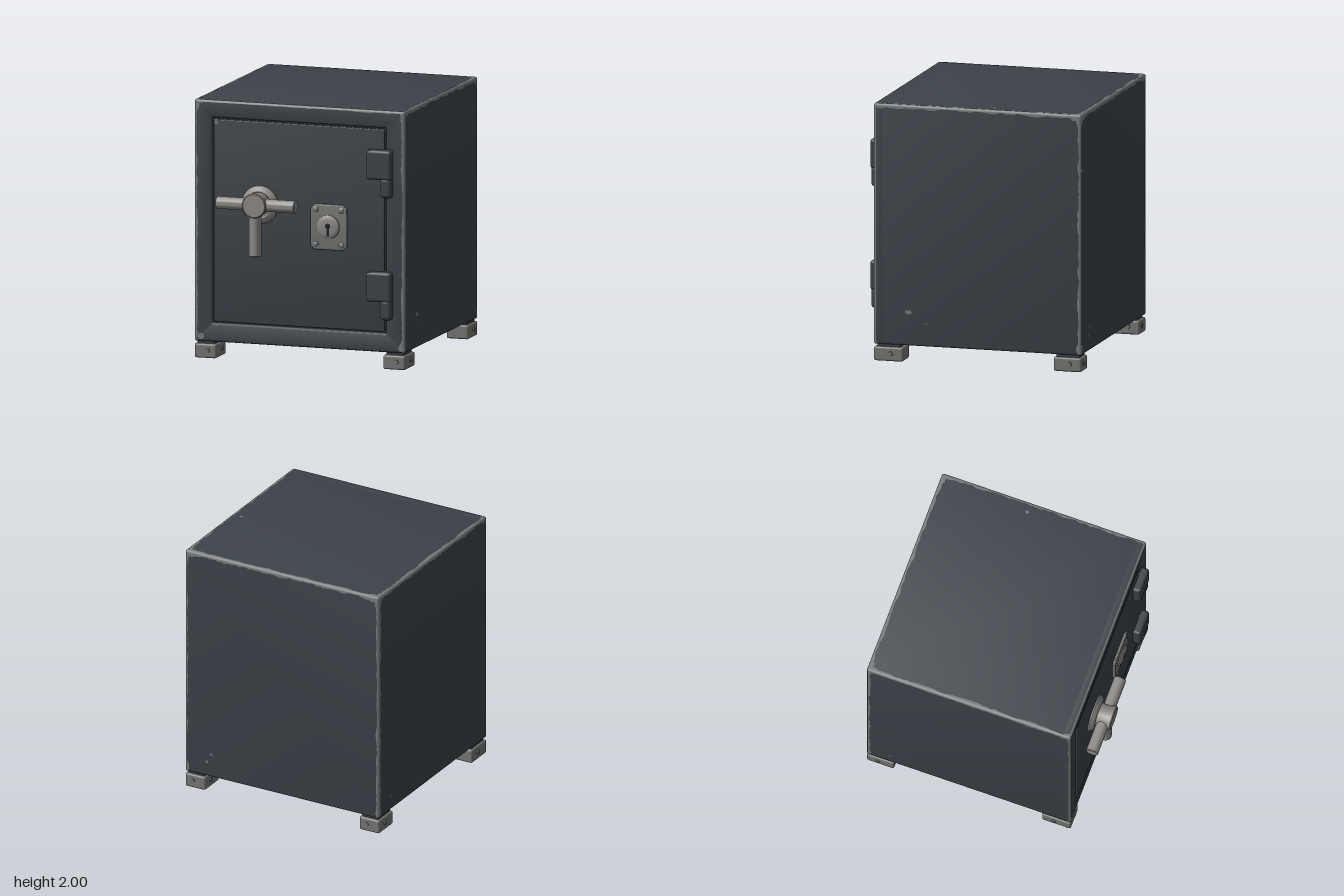
import * as THREE from 'three';
import { toCreasedNormals } from 'three/addons/utils/BufferGeometryUtils.js';
import { RoundedBoxGeometry } from 'three/addons/geometries/RoundedBoxGeometry.js';

const mat = (name, color, side = THREE.FrontSide) => {
  const m = new THREE.MeshStandardMaterial({ color, side });
  m.name = name;
  return m;
};

export function createModel() {
  const paint = mat('dark paint', 0x3c4249);
  const worn = mat('worn edge metal', 0x767a7b, THREE.DoubleSide);
  const steel = mat('handle steel', 0x8d8a87);
  const iron = mat('foot and lock iron', 0x757572);
  const black = mat('keyhole black', 0x1c1d1f);

  const model = new THREE.Group();
  model.name = 'safe';
  let seed = 7;
  const rand = () => (seed = (seed * 16807) % 2147483647) / 2147483647;

  const add = (name, geometry, material, x = 0, y = 0, z = 0, parent = model) => {
    const mesh = new THREE.Mesh(geometry, material);
    mesh.name = name;
    mesh.position.set(x, y, z);
    parent.add(mesh);
    return mesh;
  };

  // Rectangle path with rounded (or clipped) corners
  const rect = (path, x0, x1, y0, y1, r, clipped = false) => {
    path.moveTo(x0 + r, y0);
    const corner = (cx, cy, x, y) => (clipped ? path.lineTo(x, y) : path.quadraticCurveTo(cx, cy, x, y));
    path.lineTo(x1 - r, y0); corner(x1, y0, x1, y0 + r);
    path.lineTo(x1, y1 - r); corner(x1, y1, x1 - r, y1);
    path.lineTo(x0 + r, y1); corner(x0, y1, x0, y1 - r);
    path.lineTo(x0, y0 + r); corner(x0, y0, x0 + r, y0);
    return path;
  };
  // Slab between two depths with bevelled rims
  const slab = (shape, z0, z1, b) => {
    const g = new THREE.ExtrudeGeometry(shape, {
      depth: z1 - z0 - 2 * b, bevelThickness: b, bevelSize: b, bevelOffset: -b, bevelSegments: 3, curveSegments: 4,
    });
    g.translate(0, 0, z0 + b);
    return toCreasedNormals(g, 0.6);
  };

  // Cabinet, front frame and flush door with a narrow gap around it
  const X = 0.85, Y0 = 0.13, Y1 = 2, Z0 = -0.905, Z1 = 0.746, R = 0.015;
  const outline = () => rect(new THREE.Shape(), -X, X, Y0, Y1, R + 0.004);
  add('cabinet', slab(outline(), Z0, 0.7, R), paint);
  const frame = outline();
  frame.holes.push(rect(new THREE.Path(), -0.708, 0.698, 0.277, 1.867, 0.008));
  add('frontFrame', slab(frame, 0.66, Z1, R), paint);
  add('door', slab(rect(new THREE.Shape(), -0.697, 0.686, 0.288, 1.855, 0.012), 0.68, Z1, 0.007), paint);

  // Worn strip wrapped over one cabinet edge, with a ragged border on both faces
  const wearEdge = (a, b, u, v, wu, wv) => {
    const A = new THREE.Vector3(...a), B = new THREE.Vector3(...b);
    const U = new THREE.Vector3(...u), V = new THREE.Vector3(...v);
    const len = A.distanceTo(B), n = Math.round(len / 0.025), eps = 0.002, cols = 6;
    const pos = [], index = [];
    let ru = 1, rv = 1;
    for (let i = 0; i <= n; i++) {
      const t = i / n, end = Math.min(t, 1 - t) * len;
      ru = 0.6 * ru + 0.4 * (0.3 + 1.4 * rand());
      rv = 0.6 * rv + 0.4 * (0.3 + 1.4 * rand());
      const boost = end < 0.06 ? 1.4 : 1;
      const p = A.clone().lerp(B, t);
      const section = [[Math.max(R, wu * ru * boost), -eps]];
      for (let k = 0; k <= 3; k++) {
        const ang = (k / 3) * Math.PI / 2, q = R + eps;
        section.push([R - q * Math.sin(ang), R - q * Math.cos(ang)]);
      }
      section.push([-eps, Math.max(R, wv * rv * boost)]);
      for (const [du, dv] of section) {
        pos.push(...p.clone().addScaledVector(U, du).addScaledVector(V, dv).toArray());
      }
      if (i < n) for (let k = 0; k < cols - 1; k++) {
        const c = i * cols + k;
        index.push(c, c + 1, c + cols, c + 1, c + cols + 1, c + cols);
      }
    }
    const g = new THREE.BufferGeometry();
    g.setAttribute('position', new THREE.Float32BufferAttribute(pos, 3));
    g.setIndex(index);
    g.computeVertexNormals();
    add('wornEdge', g, worn);
  };
  const xi = X - R, zb = Z0 + R, zf = Z1 - R, yb = Y0 + R, yt = Y1 - R;
  for (const s of [-1, 1]) {
    // Upright edges, front then back
    wearEdge([s * X, yb, Z1], [s * X, yt, Z1], [-s, 0, 0], [0, 0, -1], 0.02, 0.013);
    wearEdge([s * X, yb, Z0], [s * X, yt, Z0], [-s, 0, 0], [0, 0, 1], 0.018, 0.024);
    // Top side edges
    wearEdge([s * X, Y1, zb], [s * X, Y1, zf], [-s, 0, 0], [0, -1, 0], 0.023, 0.026);
  }
  wearEdge([-xi, Y1, Z0], [xi, Y1, Z0], [0, -1, 0], [0, 0, 1], 0.026, 0.023);
  wearEdge([-xi, Y1, Z1], [xi, Y1, Z1], [0, -1, 0], [0, 0, -1], 0.015, 0.008);
  for (const x of [-xi, xi]) for (const y of [yb, yt]) for (const z of [zb, zf]) {
    add('wornCorner', new THREE.SphereGeometry(R + 0.002, 10, 8), worn, x, y, z);
  }

  // Small paint chips: position, width, height, facing rotation
  const chips = [
    [[X + 0.002, 0.39, 0.47], 0.03, 0.017, [0, Math.PI / 2, 0]],
    [[X + 0.002, 0.31, 0.33], 0.007, 0.006, [0, Math.PI / 2, 0]],
    [[0.77, Y1 + 0.002, -0.19], 0.012, 0.016, [-Math.PI / 2, 0, 0]],
    [[0.62, 0.32, Z0 - 0.002], 0.012, 0.01, [0, Math.PI, 0]],
    [[0.66, 0.25, Z0 - 0.002], 0.014, 0.012, [0, Math.PI, 0]],
    [[-X - 0.002, 0.25, -0.72], 0.01, 0.01, [0, -Math.PI / 2, 0]],
    [[-0.676, 1.832, Z1 + 0.002], 0.016, 0.02, [0, 0, 0]],
    [[-0.665, 0.262, Z1 + 0.002], 0.016, 0.008, [0, 0, 0]],
    [[-0.8, 0.17, Z1 + 0.002], 0.028, 0.026, [0, 0, 0]],
    [[0.82, 0.17, Z1 + 0.002], 0.02, 0.03, [0, 0, 0]],
  ];
  for (const [p, w, h, rot] of chips) {
    const chip = add('paintChip', new THREE.CircleGeometry(1, 7), worn, ...p);
    chip.scale.set(w, h, 1);
    chip.rotation.set(...rot);
  }

  // Hinges: rounded leaf over a slimmer pin barrel
  for (const y of [1.47, 0.525]) {
    const hinge = new THREE.Group();
    hinge.name = 'hinge';
    hinge.position.y = y;
    model.add(hinge);
    add('hingeLeaf', new RoundedBoxGeometry(0.207, 0.23, 0.11, 3, 0.022), paint, 0.6555, 0.115, 0.752, hinge);
    add('hingeBarrel', new RoundedBoxGeometry(0.095, 0.16, 0.1, 4, 0.03), paint, 0.7115, -0.06, 0.752, hinge);
    add('hingeWear', new THREE.BoxGeometry(0.035, 0.012, 0.006), worn, 0.575, 0.221, 0.798, hinge);
  }

  // Handle: dished rose, hub and three round bars
  const handle = new THREE.Group();
  handle.name = 'handle';
  handle.position.set(-0.315, 1.23, 0);
  model.add(handle);
  const lathe = (pts) => toCreasedNormals(
    new THREE.LatheGeometry(pts.map(([r, z]) => new THREE.Vector2(r, z)), 36).rotateX(Math.PI / 2), 0.6);
  add('handleRose', lathe([[0.147, 0.735], [0.147, 0.757], [0.138, 0.768], [0.118, 0.785],
    [0.104, 0.788], [0.09, 0.778], [0, 0.778]]), steel, -0.003, -0.014, 0, handle);
  add('handleHub', lathe([[0.088, 0.77], [0.086, 0.82], [0.088, 0.85], [0.095, 0.885],
    [0.095, 0.9], [0.088, 0.907], [0, 0.907]]), steel, 0, 0, 0, handle);
  const bar = (length) => lathe([[0, -length / 2], [0.043, -length / 2], [0.048, -length / 2 + 0.006],
    [0.048, length / 2 - 0.006], [0.043, length / 2], [0, length / 2]]);
  add('crossBar', bar(0.64), steel, 0, 0, 0.842, handle).rotation.y = Math.PI / 2;
  add('lowerBar', bar(0.38), steel, -0.01, -0.21, 0.842, handle).rotation.x = Math.PI / 2;

  // Lock: clipped plate, four screws, round cylinder and keyhole
  const lock = new THREE.Group();
  lock.name = 'lock';
  lock.position.set(0.242, 1.075, 0);
  model.add(lock);
  add('lockPlate', slab(rect(new THREE.Shape(), -0.146, 0.146, -0.176, 0.176, 0.03, true), 0.73, 0.768, 0.008), iron, 0, 0, 0, lock);
  for (const x of [-1, 1]) for (const y of [-1, 1]) {
    add('plateScrew', lathe([[0.022, 0.76], [0.022, 0.771], [0.014, 0.777], [0, 0.778]]), iron, x * 0.104, y * 0.135, 0, lock);
  }
  add('lockCylinder', lathe([[0.092, 0.76], [0.09, 0.775], [0.078, 0.784], [0.055, 0.787], [0, 0.787]]), steel, 0, 0.004, 0, lock);
  add('keyholeRound', new THREE.CircleGeometry(0.021, 16), black, 0, 0.012, 0.789, lock);
  add('keyholeSlot', new THREE.PlaneGeometry(0.02, 0.07), black, 0, -0.03, 0.789, lock);

  // Feet with short necks and bolt heads
  for (const s of [-1, 1]) for (const f of [-1, 1]) {
    const foot = new THREE.Group();
    foot.name = f > 0 ? 'frontFoot' : 'backFoot';
    foot.position.set(s * 0.765, 0.055, f > 0 ? 0.632 : -0.795);
    model.add(foot);
    add('footBlock', new RoundedBoxGeometry(0.176, 0.11, f > 0 ? 0.232 : 0.22, 2, 0.015), iron, 0, 0, 0, foot);
    add('footNeck', new THREE.BoxGeometry(0.14, 0.06, 0.18), paint, 0, 0.06, 0, foot);
    const bolt = new THREE.CylinderGeometry(0.016, 0.019, 0.012, 10);
    add('sideBolt', bolt, iron, 0.09, 0.005, -0.02, foot).rotation.z = -Math.PI / 2;
    add('sideBolt', bolt, iron, -0.09, 0.005, -0.02, foot).rotation.z = Math.PI / 2;
    add('endBolt', bolt, iron, 0.02, 0.005, f * (f > 0 ? 0.116 : 0.11), foot).rotation.x = f * Math.PI / 2;
  }
  return model;
}
